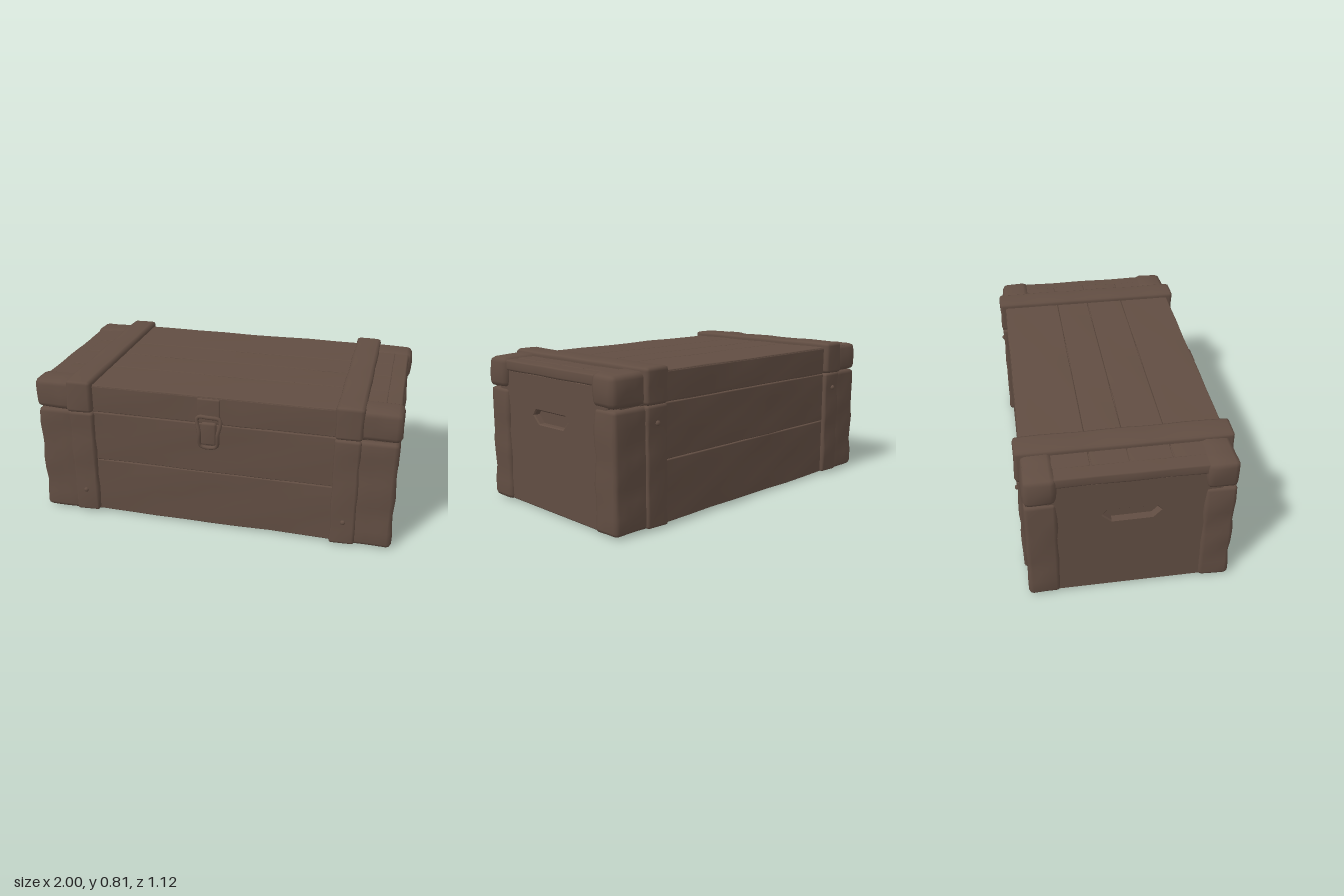
import * as THREE from 'three';
import { mergeVertices } from 'three/addons/utils/BufferGeometryUtils.js';

const wood = new THREE.MeshStandardMaterial({ color: 0x614d42 });
wood.name = 'worn brown wood';

// Box from min to max corner with worn, rounded edges and a slight hand-hewn wobble.
function wornBox(min, max, r = 0.015, wobble = 0.003) {
  const size = max.map((v, i) => v - min[i]);
  const mid = max.map((v, i) => (v + min[i]) / 2);
  const segs = size.map((s) => Math.min(12, Math.max(4, Math.round(s / 0.08) + 2)));
  let geo = new THREE.BoxGeometry(...size, ...segs);
  const pos = geo.attributes.position;
  for (let i = 0; i < pos.count; i++) {
    const p = [pos.getX(i), pos.getY(i), pos.getZ(i)];
    const inner = [0, 0, 0];
    for (let a = 0; a < 3; a++) {
      const h = size[a] / 2;
      const rr = Math.min(r, h * 0.9);
      const k = Math.round((p[a] / size[a] + 0.5) * segs[a]);
      // The first and last ring hug the edge; the others spread evenly.
      if (k > 0 && k < segs[a]) p[a] = -(h - rr) + (2 * (h - rr) * (k - 1)) / (segs[a] - 2);
      inner[a] = THREE.MathUtils.clamp(p[a], -(h - rr), h - rr);
    }
    const d = p.map((v, a) => v - inner[a]);
    const len = Math.hypot(...d) || 1;
    const q = p.map((v, a) => inner[a] + (d[a] / len) * Math.min(r, Math.max(...d.map(Math.abs))) + mid[a]);
    const w = wobble * (Math.sin(q[0] * 13 + q[1] * 29) + Math.sin(q[2] * 17 - q[1] * 23 + q[0] * 7)) * 0.5;
    pos.setXYZ(i, q[0] + (d[0] / len) * w, q[1] + (d[1] / len) * w, q[2] + (d[2] / len) * w);
  }
  geo.deleteAttribute('uv');
  geo.deleteAttribute('normal');
  geo = mergeVertices(geo, 1e-5);
  geo.computeVertexNormals();
  return geo;
}

export function createModel() {
  const chest = new THREE.Group();
  chest.name = 'chest';

  const add = (name, geo, parent = chest) => {
    const m = new THREE.Mesh(geo, wood);
    m.name = name;
    parent.add(m);
    return m;
  };
  const box = (name, min, max, r, wobble) => add(name, wornBox(min, max, r, wobble));

  // Inner base and lid
  box('baseCore', [-0.935, 0.005, -0.505], [0.935, 0.612, 0.5], 0.006, 0);
  box('lidCore', [-0.935, 0.608, -0.505], [0.935, 0.765, 0.5], 0.006, 0);

  // Front and back boards
  for (const [y0, y1] of [[0.005, 0.328], [0.33, 0.617], [0.621, 0.772]]) {
    box('frontBoard', [-0.82, y0, 0.46], [0.82, y1, 0.513], 0.006);
    box('backBoard', [-0.82, y0, -0.52], [0.82, y1, -0.46], 0.006);
  }

  // Lid boards
  const seams = [-0.518, -0.19, 0.0, 0.215, 0.512];
  for (let i = 0; i < 4; i++) {
    box('lidBoard', [-0.9, 0.72, seams[i] + 0.0008], [0.9, 0.777, seams[i + 1] - 0.0008], 0.006);
  }

  // End panels with a six-sided grip cut into each
  for (const s of [-1, 1]) {
    const panel = new THREE.Shape([[-0.45, 0.008], [0.45, 0.008], [0.45, 0.715], [-0.45, 0.715]]
      .map(([x, y]) => new THREE.Vector2(x, y)));
    panel.holes.push(new THREE.Path([[-0.15, 0.505], [-0.125, 0.54], [0.13, 0.54], [0.155, 0.508], [0.11, 0.46], [-0.1, 0.458]]
      .map(([x, y]) => new THREE.Vector2(x, y))));
    const geo = new THREE.ExtrudeGeometry(panel, {
      depth: 0.032, bevelEnabled: true, bevelSize: 0.006, bevelThickness: 0.006, bevelSegments: 1,
    });
    geo.translate(0, 0, 0.932);
    geo.rotateY((s * Math.PI) / 2);
    add('endPanel', geo);

    const span = (a, b) => (s > 0 ? [a, b] : [-b, -a]);
    const [rx0, rx1] = span(0.8, 0.978);
    box('lidEndRail', [rx0, 0.718, -0.45], [rx1, 0.774, 0.45], 0.01);

    // Corner posts and the lid caps above them
    for (const t of [-1, 1]) {
      const zs = (a, b) => (t > 0 ? [a, b] : [-b, -a]);
      const [z0, z1] = zs(0.365, 0.527);
      const [px0, px1] = span(0.77, 0.986);
      box('cornerPost', [px0, 0, z0], [px1, 0.618, z1], 0.022, 0.006);
      const [cx0, cx1] = span(0.77, 0.995);
      box('lidCornerCap', [cx0, 0.62, z0], [cx1, 0.785, z1], 0.03, 0.006);

      // Upright bands
      const [bx0, bx1] = span(0.66, 0.795);
      const [bz0, bz1] = zs(0.44, 0.543);
      box('uprightBand', [bx0, 0.004, bz0], [bx1, 0.619, bz1], 0.014, 0.005);

      // Nail heads
      const nail = add('nail', new THREE.SphereGeometry(0.014, 10, 6));
      nail.position.set(s * 0.73, t > 0 ? 0.14 : 0.53, t * 0.545);
      nail.scale.z = 0.8;
    }

    // Band over the lid
    const [sx0, sx1] = span(0.66, 0.802);
    box('lidBand', [sx0, 0.622, -0.552], [sx1, 0.803, 0.548], 0.018, 0.004);
  }

  // Front latch: lid plate, hanging hasp, loop and staple
  box('latchPlate', [-0.07, 0.625, 0.5], [0.055, 0.765, 0.522], 0.008, 0);
  box('latchHasp', [-0.045, 0.51, 0.522], [0.04, 0.64, 0.55], 0.012, 0.002);
  box('latchStaple', [-0.06, 0.49, 0.5], [0.035, 0.53, 0.53], 0.01, 0);
  const loop = new THREE.CatmullRomCurve3([
    [-0.048, 0.5, 0.535], [-0.052, 0.58, 0.55], [-0.062, 0.665, 0.54],
    [0, 0.672, 0.545], [0.06, 0.66, 0.54], [0.05, 0.58, 0.55], [0.035, 0.5, 0.535],
  ].map((p) => new THREE.Vector3(...p)), true);
  add('latchLoop', new THREE.TubeGeometry(loop, 40, 0.011, 8, true));

  return chest;
}
